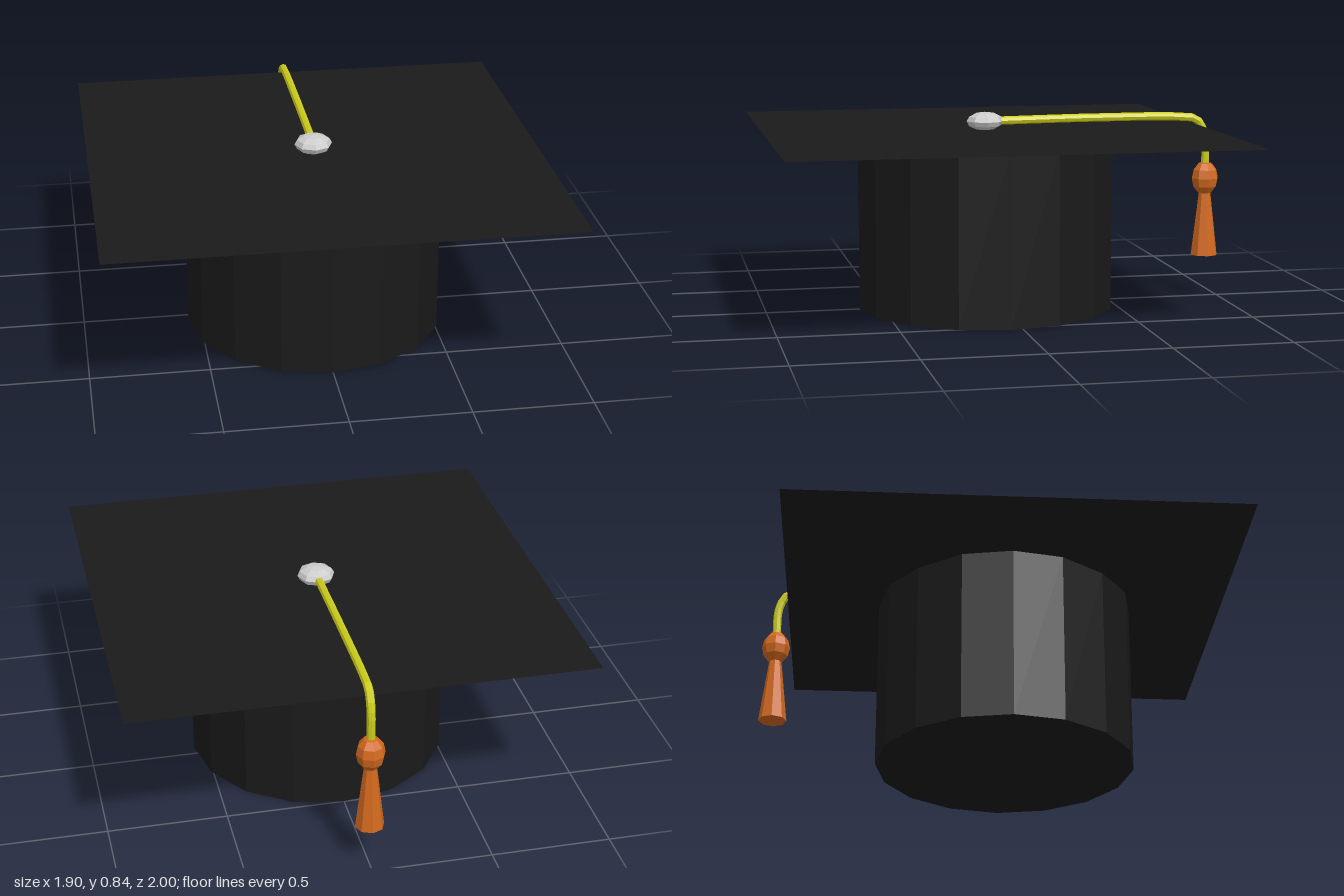
import * as THREE from 'three';

const paint = (color) => new THREE.MeshStandardMaterial({ color, flatShading: true });

export function createModel() {
  const model = new THREE.Group();
  const black = paint(0x1a1a1a);
  const grey = paint(0xcccccc);
  const yellow = paint(0xcccc1a);
  const orange = paint(0xd2691e);

  const add = (parent, name, geometry, material, x, y, z) => {
    const mesh = new THREE.Mesh(geometry, material);
    mesh.name = name;
    mesh.position.set(x, y, z);
    parent.add(mesh);
    return mesh;
  };

  const centreZ = 0.05;
  const boardTop = 0.765;

  // Head band: closed sixteen-sided drum
  add(model, 'headBand', new THREE.CylinderGeometry(0.55, 0.55, 0.74, 16), black, 0, 0.37, centreZ);

  // Board: flat square on top, shallow inverted pyramid below, knife-thin rim
  const depth = 0.055;
  const boardGeometry = new THREE.CylinderGeometry(0.95 * Math.SQRT2, 0, depth, 4);
  boardGeometry.rotateY(Math.PI / 4);
  add(model, 'board', boardGeometry, black, 0, boardTop - depth / 2, centreZ);

  // Button at the centre of the board
  const button = add(model, 'button', new THREE.SphereGeometry(0.08, 8, 6), grey, 0, 0.8, centreZ);
  button.scale.y = 0.5;

  // Cord running back over the rim and hanging down
  const cordPath = new THREE.CatmullRomCurve3(
    [[0.8, 0.03], [0.805, -0.45], [0.8, -0.83], [0.787, -0.9], [0.72, -0.935], [0.57, -0.94]]
      .map(([y, z]) => new THREE.Vector3(0, y, z))
  );
  add(model, 'cord', new THREE.TubeGeometry(cordPath, 32, 0.018, 8), yellow, 0, 0, 0);

  // Tassel: round knot with a flared skirt
  const tassel = new THREE.Group();
  tassel.name = 'tassel';
  tassel.position.z = -0.94;
  model.add(tassel);
  const knot = add(tassel, 'tasselKnot', new THREE.SphereGeometry(0.06, 8, 6), orange, 0, 0.527, 0);
  knot.scale.y = 1.25;
  add(tassel, 'tasselSkirt', new THREE.CylinderGeometry(0.025, 0.06, 0.29, 8), orange, 0, 0.33, 0);

  return model;
}
